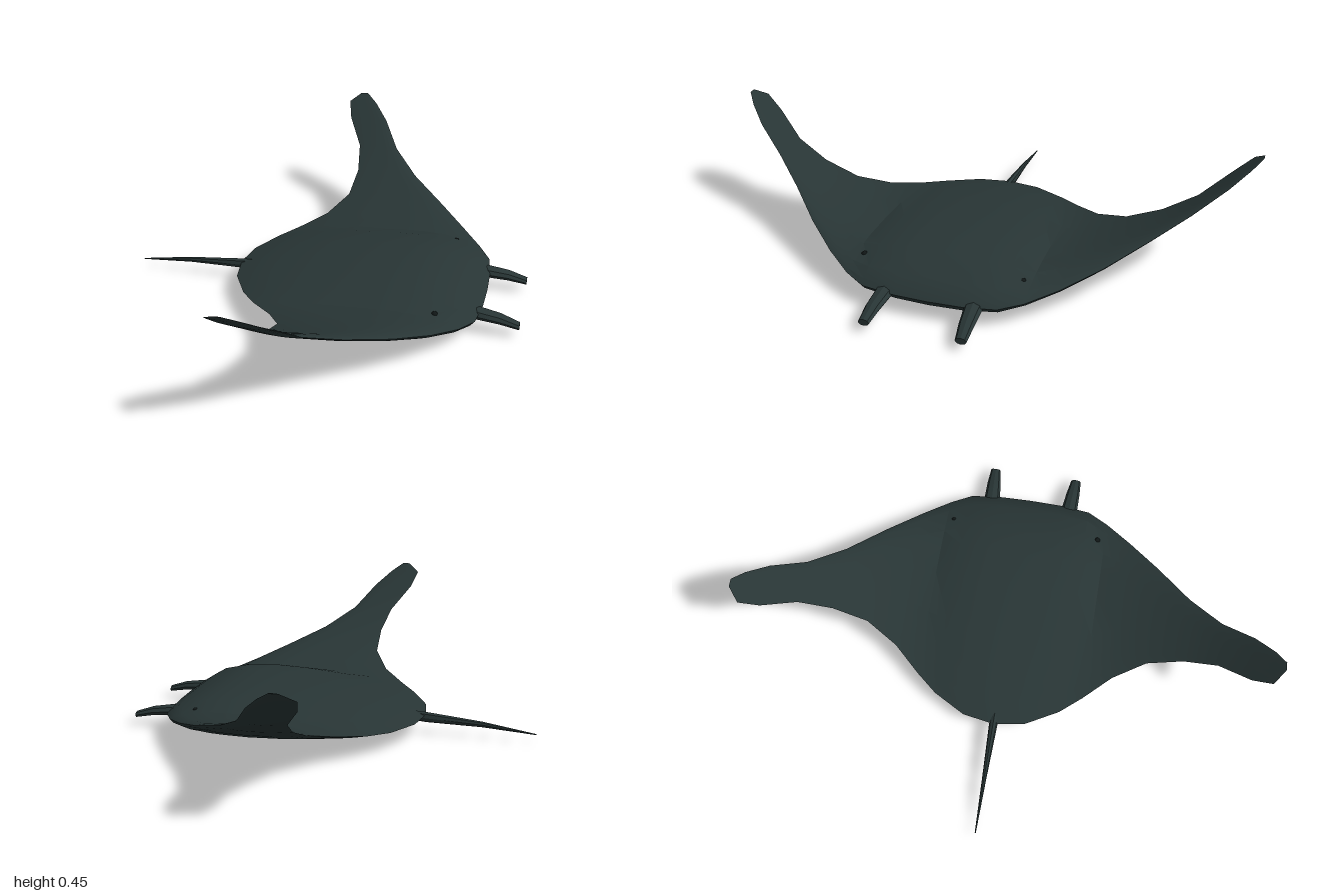
import * as THREE from 'three';
import { toCreasedNormals } from 'three/addons/utils/BufferGeometryUtils.js';

// Skin a list of closed rings (counter-clockwise seen from the last ring) and cap both ends
function loft(rings) {
  const n = rings[0].length, index = [];
  for (let r = 0; r < rings.length - 1; r++) {
    for (let i = 0; i < n; i++) {
      const j = (i + 1) % n, a = r * n, b = a + n;
      index.push(a + i, a + j, b + j, a + i, b + j, b + i);
    }
  }
  const last = (rings.length - 1) * n;
  for (let i = 1; i < n - 1; i++) {
    index.push(0, i + 1, i, last, last + i, last + i + 1);
  }
  const g = new THREE.BufferGeometry();
  g.setAttribute('position', new THREE.Float32BufferAttribute(rings.flat(2), 3));
  g.setIndex(index);
  return toCreasedNormals(g, 0.4);
}

// Elliptical tapering limb along x; stations are [x, y, z, radiusY, radiusZ]
function limb(stations, sides) {
  return loft(stations.map(([x, y, z, ry, rz]) =>
    Array.from({ length: sides }, (_, i) => {
      const a = (i / sides) * Math.PI * 2;
      return [x, y + Math.cos(a) * ry, z + Math.sin(a) * rz];
    })));
}

// Body and wing sections across the span: [z, trailing x, leading x, bottom y, edge y, top y]
const SPAN = [
  [0, -0.34, 0.615, 0.003, 0.075, 0.168],
  [0.12, -0.32, 0.612, 0.008, 0.076, 0.166],
  [0.24, -0.255, 0.597, 0.025, 0.08, 0.155],
  [0.32, -0.19, 0.55, 0.05, 0.09, 0.13],
  [0.42, -0.1, 0.47, 0.085, 0.115, 0.145],
  [0.54, -0.035, 0.36, 0.138, 0.157, 0.176],
  [0.67, -0.025, 0.225, 0.203, 0.214, 0.225],
  [0.79, -0.045, 0.12, 0.273, 0.281, 0.29],
  [0.9, -0.11, 0.05, 0.359, 0.365, 0.371],
  [0.965, -0.13, -0.01, 0.415, 0.419, 0.423],
  [1, -0.085, -0.055, 0.449, 0.45, 0.451],
];
// Chord profile from trailing to leading edge: [position, upper bulge, lower bulge]
const CHORD = [
  [0, 0, 0], [0.07, 0.22, 0.25], [0.15, 0.43, 0.47], [0.33, 0.75, 0.82], [0.55, 0.95, 1],
  [0.7, 1, 0.98], [0.8, 0.92, 0.9], [0.93, 0.56, 0.64], [0.98, 0.22, 0.35], [1, 0, 0],
];

function section([z, back, front, bottom, edge, top], side) {
  const at = (t, y) => [back + (front - back) * t, y, z * side];
  const lower = CHORD.map(([t, , l]) => at(t, edge + (bottom - edge) * l));
  const upper = CHORD.slice(1, -1).reverse().map(([t, u]) => at(t, edge + (top - edge) * u));
  return [...lower, ...upper];
}

export function createModel() {
  const model = new THREE.Group();
  model.name = 'mantaRay';
  const skin = new THREE.MeshStandardMaterial({ color: 0x283535 });
  skin.name = 'dark slate skin';
  const eyeBlack = new THREE.MeshStandardMaterial({ color: 0x101616 });
  eyeBlack.name = 'eye black';

  const add = (name, geometry, material) => {
    const mesh = new THREE.Mesh(geometry, material);
    mesh.name = name;
    model.add(mesh);
    return mesh;
  };

  // Body with upswept wings, from one wing tip to the other
  const rings = [
    ...SPAN.slice(1).reverse().map((s) => section(s, -1)),
    ...SPAN.map((s) => section(s, 1)),
  ];
  add('bodyAndWings', loft(rings), skin);

  // Whip tail
  add('tail', limb([
    [-0.75, 0.033, 0, 0.002, 0.002],
    [-0.55, 0.055, 0, 0.011, 0.008],
    [-0.34, 0.066, 0, 0.02, 0.016],
    [-0.26, 0.072, 0, 0.018, 0.01],
  ], 8), skin);

  // Paired head fins and eyes
  for (const side of [-1, 1]) {
    add('headFin', limb([
      [0.5, 0.075, 0.155 * side, 0.02, 0.025],
      [0.6, 0.07, 0.16 * side, 0.021, 0.032],
      [0.68, 0.06, 0.165 * side, 0.018, 0.027],
      [0.75, 0.042, 0.169 * side, 0.012, 0.02],
    ], 8), skin);
    add('eye', new THREE.SphereGeometry(0.012, 10, 8), eyeBlack).position.set(0.46, 0.119, 0.29 * side);
  }
  return model;
}
